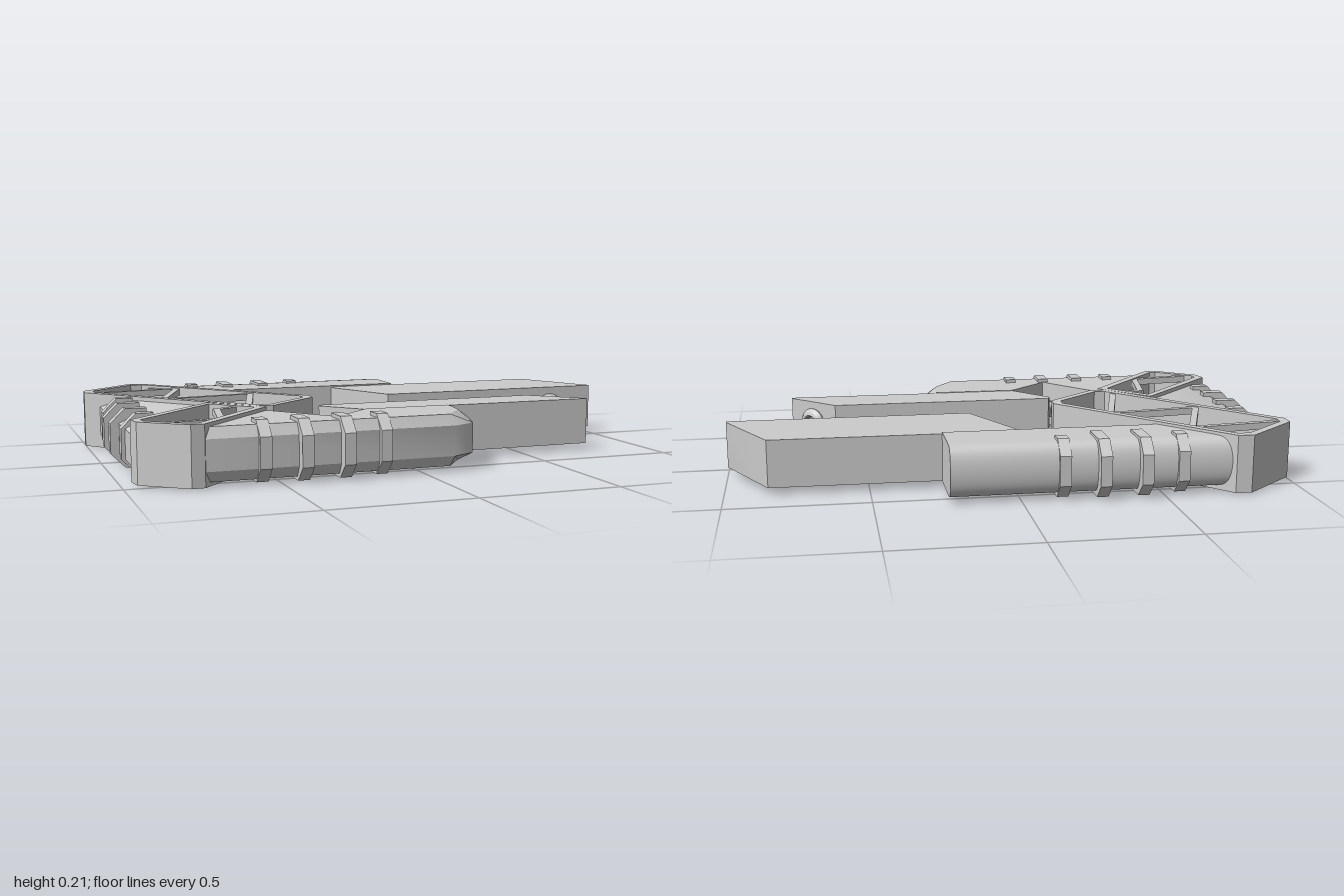
import * as THREE from 'three';
import { toCreasedNormals } from 'three/addons/utils/BufferGeometryUtils.js';

const grey = new THREE.MeshStandardMaterial({ color: 0xcccccc });
const greyDouble = new THREE.MeshStandardMaterial({ color: 0xcccccc, side: THREE.DoubleSide });
const V = (x, y, z) => new THREE.Vector3(x, y, z);

function add(parent, geometry, name, material = grey) {
  const mesh = new THREE.Mesh(geometry, material);
  mesh.name = name;
  parent.add(mesh);
  return mesh;
}

// Solid through stacked [y, outline] layers; outlines are [x, z] loops of equal length.
function loft(layers) {
  const flip = THREE.ShapeUtils.area(layers[0][1].map(p => new THREE.Vector2(...p))) < 0;
  const loops = layers.map(([y, pts]) => (flip ? [...pts].reverse() : pts).map(([x, z]) => [x, y, z]));
  const n = loops[0].length, pos = [];
  const tri = (a, b, c) => pos.push(...a, ...b, ...c);
  for (let k = 0; k < loops.length - 1; k++) {
    const a = loops[k], b = loops[k + 1];
    for (let i = 0; i < n; i++) {
      const j = (i + 1) % n;
      tri(a[i], b[j], a[j]);
      tri(a[i], b[i], b[j]);
    }
  }
  const cap = (loop, up) => {
    const faces = THREE.ShapeUtils.triangulateShape(loop.map(p => new THREE.Vector2(p[0], p[2])), []);
    for (const [i, j, k] of faces) up ? tri(loop[i], loop[k], loop[j]) : tri(loop[i], loop[j], loop[k]);
  };
  cap(loops[0], false);
  cap(loops[loops.length - 1], true);
  const g = new THREE.BufferGeometry();
  g.setAttribute('position', new THREE.Float32BufferAttribute(pos, 3));
  return toCreasedNormals(g, 0.5);
}

const prism = (pts, y0, y1) => loft([[y0, pts], [y1, pts]]);

// Open-topped wall ring; both [x, z] outlines run the same way, so the hole is reversed.
function ring(outer, inner, y0, y1) {
  const v = pts => pts.map(([x, z]) => new THREE.Vector2(x, -z));
  const shape = new THREE.Shape(v(outer));
  shape.holes.push(new THREE.Path(v(inner).reverse()));
  const g = new THREE.ExtrudeGeometry(shape, { depth: y1 - y0, bevelEnabled: false });
  return g.rotateX(-Math.PI / 2).translate(0, y0, 0);
}

// Round rod between two points.
function rod(parent, a, b, r, name) {
  const m = add(parent, new THREE.CylinderGeometry(r, r, a.distanceTo(b), 14), name);
  m.position.lerpVectors(a, b, 0.5);
  m.quaternion.setFromUnitVectors(V(0, 1, 0), b.clone().sub(a).normalize());
}

// Flat zigzag bars joining [x, z] points, on the top and the underside.
function truss(parent, pts, name) {
  for (const y of [0.022, 0.193])
    for (let i = 0; i < pts.length - 1; i++) {
      const [x0, z0] = pts[i], [x1, z1] = pts[i + 1];
      const bar = add(parent, new THREE.BoxGeometry(Math.hypot(x1 - x0, z1 - z0) + 0.02, 0.025, 0.024), name);
      bar.position.set((x0 + x1) / 2, y, (z0 + z1) / 2);
      bar.rotation.y = -Math.atan2(z1 - z0, x1 - x0);
    }
}

// Stack of coils on a central rod.
function spring(parent, a, b, radius, coils, name) {
  const g = new THREE.Group();
  g.name = name;
  parent.add(g);
  const dir = b.clone().sub(a).normalize();
  rod(g, a.clone().addScaledVector(dir, -0.05), b.clone().addScaledVector(dir, 0.05), radius * 0.4, 'springRod');
  for (let i = 0; i < coils; i++) {
    const c = add(g, new THREE.TorusGeometry(radius * 0.75, radius * 0.27, 8, 20), 'coil');
    c.position.lerpVectors(a, b, i / (coils - 1));
    c.quaternion.setFromUnitVectors(V(0, 0, 1), dir);
  }
}

// Chamfered grip rib that reaches outward along the given heading.
function rib(parent, x, z, length, heading) {
  const s = new THREE.Shape([[0, 0.005], [length - 0.05, 0.005], [length, 0.055], [length, 0.16],
    [length - 0.05, 0.21], [0, 0.21]].map(p => new THREE.Vector2(...p)));
  const g = new THREE.ExtrudeGeometry(s, { depth: 0.04, bevelEnabled: false }).translate(0, 0, -0.02);
  const m = add(parent, g, 'gripRib');
  m.position.set(x, 0, z);
  m.rotation.y = heading;
}

// Round socket with a stepped rim.
function socket(parent, pos, dir, name) {
  const profile = [[0.058, -0.01], [0.058, 0.006], [0.046, 0.02], [0.034, 0.024], [0.028, 0.018],
    [0.026, 0.004], [0, 0.004]].map(p => new THREE.Vector2(...p));
  const m = add(parent, toCreasedNormals(new THREE.LatheGeometry(profile, 28), 0.5), name, greyDouble);
  m.position.copy(pos);
  m.quaternion.setFromUnitVectors(V(0, 1, 0), dir.normalize());
}

export function createModel() {
  const model = new THREE.Group();
  model.name = 'model';

  // Diagonal frame with its truss and pistons
  const frame = new THREE.Group();
  frame.name = 'diagonalFrame';
  frame.position.set(-0.615, 0, -0.19);
  frame.rotation.y = -0.857;
  model.add(frame);
  const oct = (a, b, c) => [[-a, -b + c], [-a + c, -b], [a - c, -b], [a, -b + c],
    [a, b - c], [a - c, b], [-a + c, b], [-a, b - c]];
  add(frame, ring(oct(0.437, 0.172, 0.04), oct(0.407, 0.142, 0.03), 0.005, 0.21), 'frameWall');
  truss(frame, [[-0.39, 0.14], [-0.2, -0.145], [-0.04, 0.145], [0.15, -0.145], [0.34, 0.145]], 'frameBrace');
  for (let i = 0; i < 7; i++) {
    const u = -0.335 + i * 0.112, s = i % 2 ? 0.01 : -0.01;
    rod(frame, V(u, 0.11, -0.15), V(u, 0.11, 0.15), 0.014, 'pistonRod');
    rod(frame, V(u, 0.11, -0.115 + s), V(u, 0.11, 0.115 + s), 0.028, 'pistonSleeve');
    rod(frame, V(u + 0.045, 0.11, -0.15), V(u + 0.045, 0.11, 0.15), 0.012, 'sideRod');
  }

  // Short frame with its truss and large spring
  add(model, ring(
    [[-0.63, 0.07], [-0.46, 0.25], [-0.755, 0.585], [-0.80, 0.588], [-0.95, 0.47], [-0.96, 0.41]],
    [[-0.633, 0.112], [-0.502, 0.25], [-0.768, 0.555], [-0.793, 0.556], [-0.925, 0.452], [-0.928, 0.422]],
    0.005, 0.21), 'shortFrameWall');
  truss(model, [[-0.55, 0.18], [-0.63, 0.22], [-0.67, 0.45], [-0.9, 0.485]], 'shortFrameBrace');
  spring(model, V(-0.83, 0.11, 0.445), V(-0.655, 0.11, 0.25), 0.044, 12, 'largeSpring');

  // Triangular side grip
  const sideMid = [[-0.955, -0.33], [-0.62, 0.07], [-0.955, 0.42]];
  const sideTop = [[-0.885, -0.25], [-0.62, 0.07], [-0.885, 0.35]];
  add(model, loft([[0.02, sideTop], [0.055, sideMid], [0.16, sideMid], [0.195, sideTop]]), 'sideGrip');
  [-0.17, -0.03, 0.12, 0.25].forEach((z, i) =>
    rib(model, -0.858, z, i === 1 || i === 2 ? 0.127 : 0.11, Math.PI));

  // Front grip with bevelled outer edge
  const frontMid = [[-0.76, 0.583], [-0.47, 0.24], [-0.28, 0.48], [-0.125, 0.335],
    [0.245, 0.33], [0.245, 0.39], [0.195, 0.54], [0.11, 0.583]];
  const frontTop = [[-0.745, 0.562], [-0.47, 0.24], [-0.28, 0.48], [-0.125, 0.335],
    [0.19, 0.335], [0.19, 0.37], [0.175, 0.46], [0.1, 0.562]];
  add(model, loft([[0.018, frontTop], [0.055, frontMid], [0.16, frontMid], [0.197, frontTop]]), 'frontGrip');
  [-0.56, -0.425, -0.28, -0.145].forEach((x, i) => {
    const long = i === 1 || i === 2;
    rib(model, x, long ? 0.48 : 0.49, long ? 0.14 : 0.11, -Math.PI / 2);
    rib(model, x, long ? -0.455 : -0.5, long ? 0.17 : 0.1, Math.PI / 2);
  });
  spring(model, V(-0.385, 0.11, 0.24), V(-0.265, 0.11, 0.38), 0.034, 9, 'smallSpring');

  // Front arm
  add(model, prism([[-0.25, 0.19], [-0.24, 0.165], [0.6, 0.165], [0.765, 0.325], [0.765, 0.335],
    [-0.125, 0.335]], 0.025, 0.195), 'frontArm');
  socket(model, V(0.683, 0.11, 0.248), V(1, 0, -1), 'frontArmSocket');

  // Rear grip with rounded outer edge
  const rear = [];
  for (let i = 0; i <= 20; i++) {
    const a = Math.PI * i / 20;
    const z = -0.52 - 0.07 * Math.sqrt(Math.abs(Math.sin(a)));
    rear.push([0.11 - 0.09 * Math.cos(a), [[-0.735, z], [0.245, z], [0.245, -0.355], [-0.54, -0.355]]]);
  }
  add(model, loft(rear), 'rearGrip');

  // Rear arm
  add(model, prism([[-0.02, -0.36], [0.85, -0.355], [1, -0.06], [1, -0.045], [0.11, -0.045],
    [-0.02, -0.32]], 0.025, 0.195), 'rearArm');
  socket(model, V(0.815, 0.11, -0.045), V(0, 0, 1), 'rearArmSocket');

  // Bevelled lugs under both arms
  for (const [x0, x1, z] of [[-0.08, 0.1, 0.245], [0.15, 0.385, -0.155]]) {
    const rect = d => [[x0 + d, z - 0.05 + d], [x1 - d, z - 0.05 + d], [x1 - d, z + 0.05 - d], [x0 + d, z + 0.05 - d]];
    add(model, loft([[0, rect(0.018)], [0.02, rect(0)], [0.04, rect(0)]]), 'undersideLug');
  }
  return model;
}
